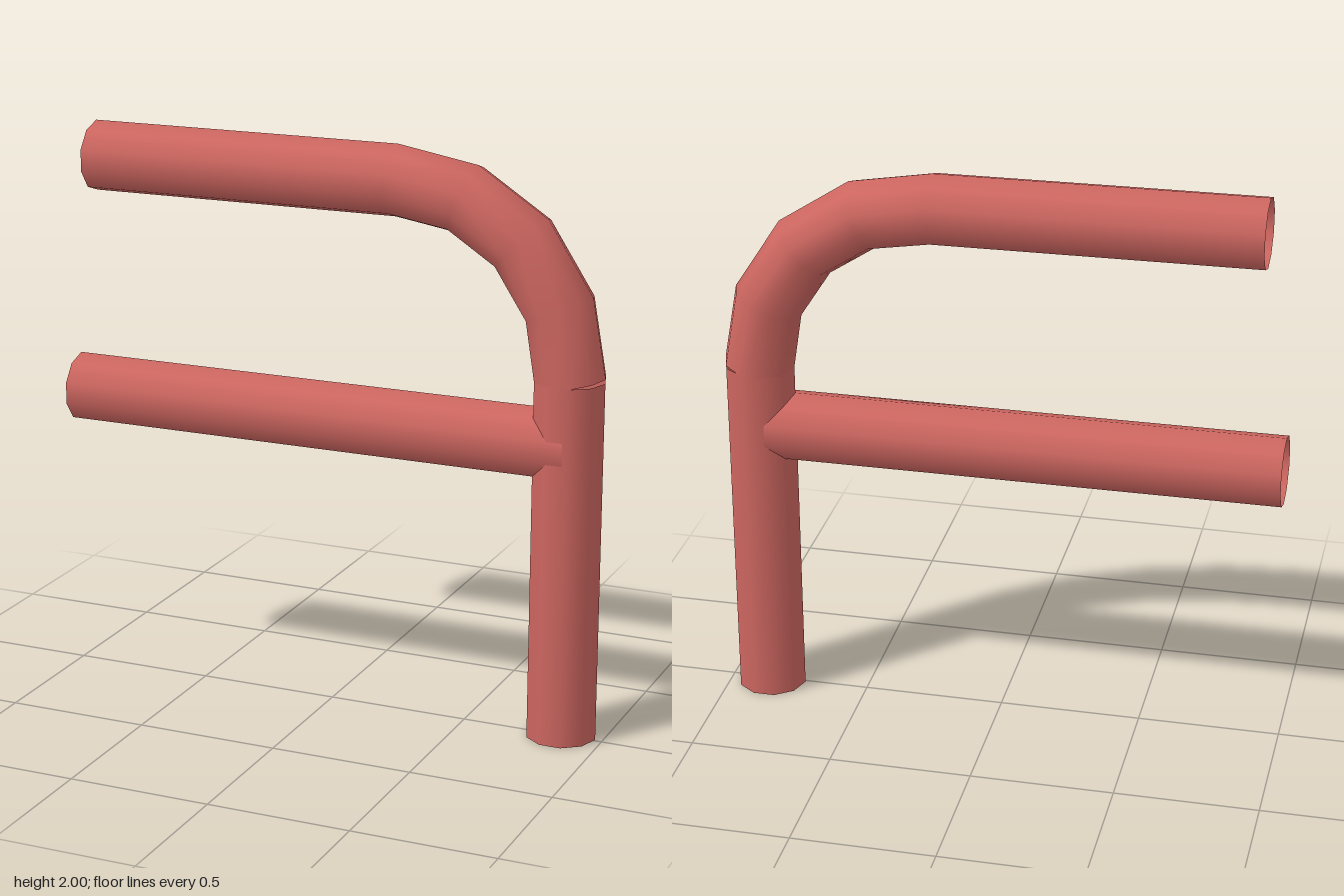
import * as THREE from 'three';

const RADIUS = 0.123;
const SIDES = 10;

// Open ten-sided pipe: the rings of a cylinder are moved onto a path and mitred at each bend
function pipe(name, path, material) {
  const points = path.map((p) => new THREE.Vector3(...p));
  const last = points.length - 1;
  const geometry = new THREE.CylinderGeometry(RADIUS, RADIUS, 1, SIDES, last, true, Math.PI / 2);
  const position = geometry.attributes.position;
  const normal = geometry.attributes.normal;
  const zAxis = new THREE.Vector3(0, 0, 1);
  for (let i = 0; i < position.count; i++) {
    const ring = Math.floor(i / (SIDES + 1));
    const up = points[Math.max(ring - 1, 0)].clone().sub(points[Math.min(ring + 1, last)]).normalize();
    const across = up.clone().cross(zAxis).normalize();
    const radial = across.multiplyScalar(position.getX(i)).addScaledVector(zAxis, position.getZ(i));
    const p = points[ring].clone().add(radial);
    position.setXYZ(i, p.x, p.y, p.z);
    radial.normalize();
    normal.setXYZ(i, radial.x, radial.y, radial.z);
  }
  const mesh = new THREE.Mesh(geometry, material);
  mesh.name = name;
  return mesh;
}

export function createModel() {
  const red = new THREE.MeshStandardMaterial({ color: 0xcd6660, side: THREE.DoubleSide });
  red.name = 'coral red';

  const model = new THREE.Group();
  model.name = 'pipeFrame';

  // Upright pipe
  model.add(pipe('post', [[0.852, 1.26, -0.008], [0.852, 0, -0.008]], red));

  // Pipe that curves off the post into the upper arm
  model.add(pipe('curvedUpperArm', [
    [-0.89, 1.878, 0.006],
    [0.23, 1.878, -0.009],
    [0.475, 1.837, -0.009],
    [0.678, 1.705, -0.009],
    [0.812, 1.498, -0.009],
    [0.854, 1.253, -0.009],
  ], red));

  // Straight lower arm, running into the post
  model.add(pipe('lowerArm', [[-0.98, 1.034, -0.007], [0.87, 1.034, -0.007]], red));

  return model;
}
